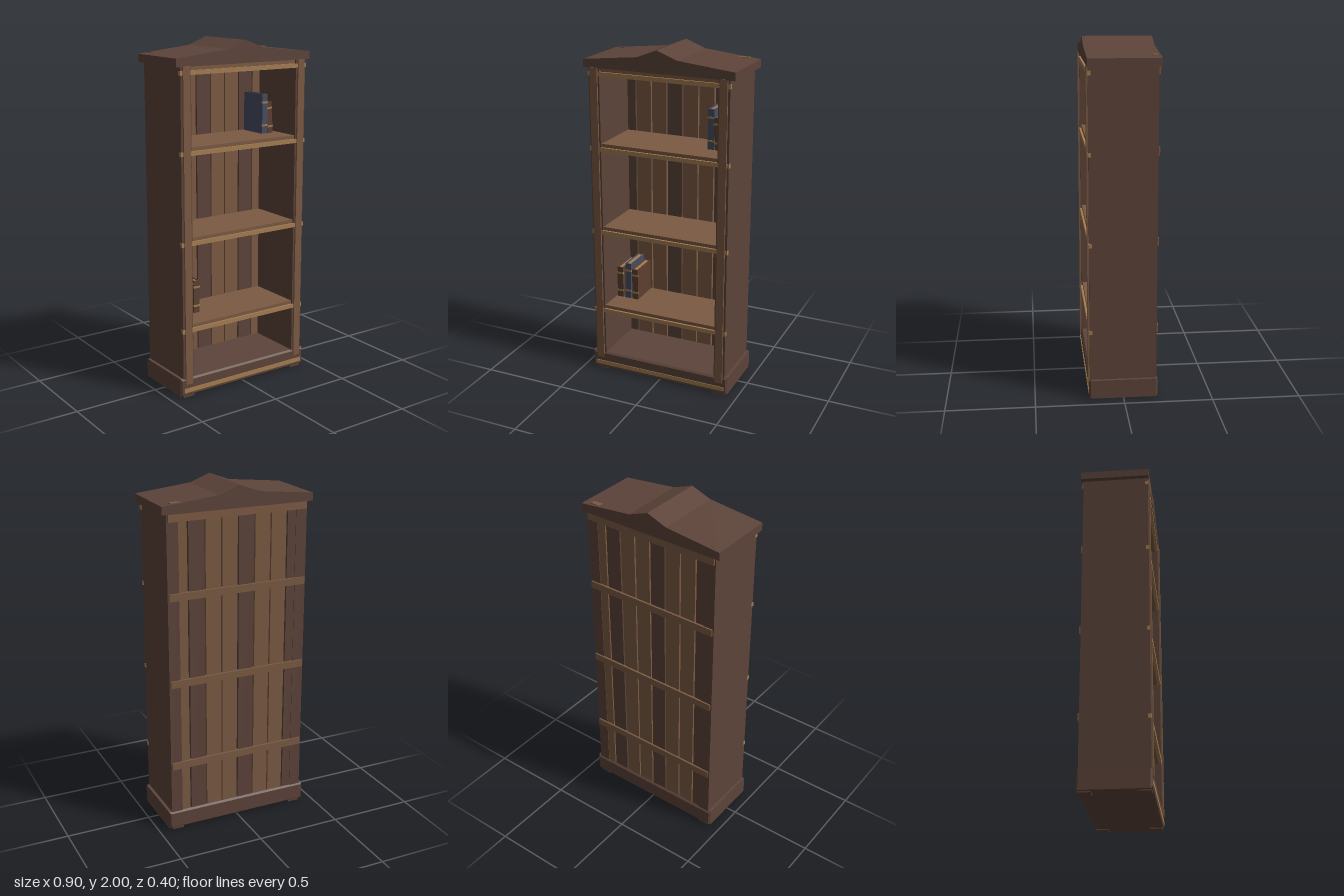
import * as THREE from 'three';

const mat = (name, color) => {
  const m = new THREE.MeshStandardMaterial({ color });
  m.name = name;
  return m;
};

export function createModel() {
  const model = new THREE.Group();
  model.name = 'bookcase';

  const darkWood = mat('dark wood', 0x5d443a);
  const midWood = mat('mid wood', 0x7c5b43);
  const paleWood = mat('pale wood', 0xa57d52);
  const blueCloth = mat('blue cloth', 0x474e62);
  const brownLeather = mat('brown leather', 0x5c3f30);

  // Box given by its limits on each axis
  function box(name, material, x0, x1, y0, y1, z0, z1, parent = model) {
    const mesh = new THREE.Mesh(new THREE.BoxGeometry(x1 - x0, y1 - y0, z1 - z0), material);
    mesh.position.set((x0 + x1) / 2, (y0 + y1) / 2, (z0 + z1) / 2);
    mesh.name = name;
    parent.add(mesh);
    return mesh;
  }

  // Plinth with chamfered edges
  const c = 0.01, hw = 0.43, y0 = 0.017, y1 = 0.105;
  const plinthShape = new THREE.Shape([
    new THREE.Vector2(-hw, y0), new THREE.Vector2(hw, y0),
    new THREE.Vector2(hw, y1), new THREE.Vector2(-hw, y1),
  ]);
  const plinth = new THREE.Mesh(new THREE.ExtrudeGeometry(plinthShape, {
    depth: 0.37, bevelEnabled: true, bevelSize: c, bevelThickness: c, bevelSegments: 1,
  }), darkWood);
  plinth.position.z = -0.185;
  plinth.name = 'plinth';
  model.add(plinth);
  box('plinthTrim', paleWood, -0.42, 0.42, 0.03, 0.055, 0.18, 0.199);

  // Side panels, front posts and feet
  for (const s of [-1, 1]) {
    const span = (a, b) => (s > 0 ? [a, b] : [-b, -a]);
    box('sidePanel', darkWood, ...span(0.355, 0.422), 0.06, 1.88, -0.187, 0.19);
    box('frontPost', midWood, ...span(0.365, 0.41), 0.08, 1.878, 0.17, 0.2);
    for (const z of [-0.19, 0.12]) box('foot', darkWood, ...span(0.35, 0.42), 0, 0.02, z, z + 0.07);
  }

  // Back planks with narrow gaps
  for (let i = 0; i < 8; i++) {
    const x = -0.4 + i * 0.1;
    const top = i === 0 ? 1.928 : i === 7 ? 1.932 : 1.92;
    box('backPlank', i % 3 === 0 ? darkWood : midWood, x + 0.004, x + 0.096, 0.06, top, -0.184, -0.155);
  }

  // Shelves with a pale nosing on the front edge
  for (const y of [0.388, 0.893, 1.398, 1.832]) {
    box('shelf', midWood, -0.415, 0.415, y, y + 0.042, -0.196, 0.182);
    box('shelfNosing', paleWood, -0.425, 0.425, y - 0.002, y + 0.022, 0.175, 0.194);
  }

  // Pediment top
  const roofShape = new THREE.Shape([
    [-0.45, 1.875], [0.45, 1.875], [0.45, 1.92], [0.12, 1.955],
    [0, 2], [-0.12, 1.955], [-0.45, 1.92],
  ].map(([x, y]) => new THREE.Vector2(x, y)));
  const roof = new THREE.Mesh(
    new THREE.ExtrudeGeometry(roofShape, { depth: 0.395, bevelEnabled: false }), darkWood);
  roof.position.z = -0.2;
  roof.name = 'pediment';
  model.add(roof);

  // Book: two covers, spine, page block and two spine bands
  function book(x, y, w, h, material, tilt = 0) {
    const g = new THREE.Group();
    g.name = 'book';
    const t = 0.006, d = 0.18, a = w / 2;
    box('cover', material, -a, -a + t, 0, h, -d, 0, g);
    box('cover', material, a - t, a, 0, h, -d, 0, g);
    box('spine', material, -a + t, a - t, 0, h, -t, 0, g);
    box('pages', paleWood, -a + t, a - t, 0.004, h - 0.006, -d + 0.006, -t, g);
    for (const k of [0.19, 0.77]) {
      box('spineBand', paleWood, -a - 0.001, a + 0.001, h * k, h * k + 0.011, -0.008, 0.002, g);
    }
    g.position.set(x, y, 0.035);
    g.rotation.z = tilt;
    model.add(g);
  }
  book(-0.329, 0.43, 0.038, 0.195, brownLeather);
  book(-0.279, 0.43, 0.038, 0.228, blueCloth, -0.03);
  book(-0.229, 0.43, 0.038, 0.195, brownLeather);
  book(0.254, 1.44, 0.038, 0.23, blueCloth);
  book(0.296, 1.44, 0.034, 0.185, brownLeather, 0.07);

  return model;
}
